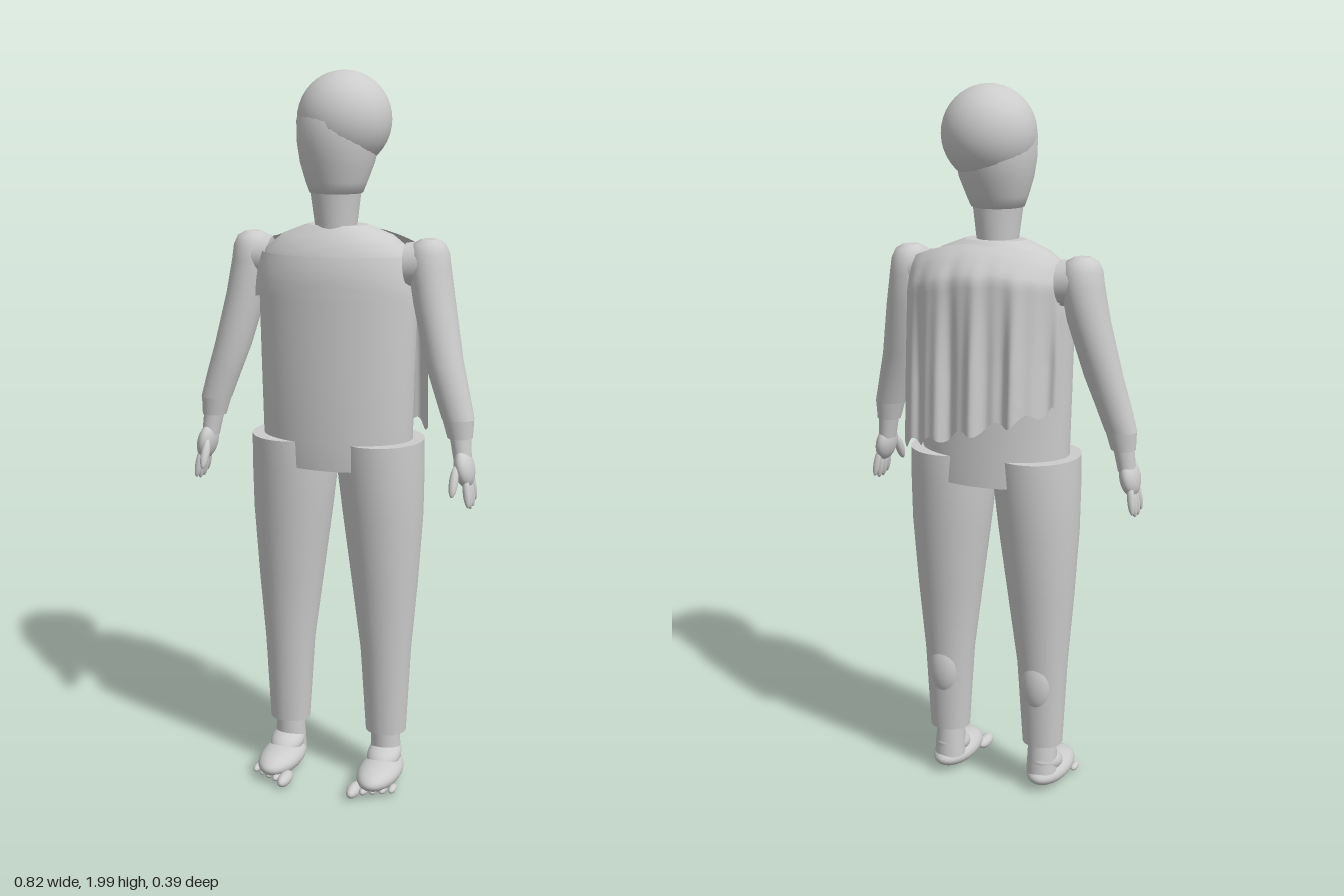
import * as THREE from 'three';

const clay = new THREE.MeshStandardMaterial({ color: 0xcccccc });
clay.name = 'clay grey';
const clayCloth = new THREE.MeshStandardMaterial({ color: 0xcccccc, side: THREE.DoubleSide });
clayCloth.name = 'clay grey cloth';

// Smooth body through horizontal ellipses [x, y, z, rx, rz], listed from bottom to top, with flat caps
function loft(name, rings, seg = 40) {
  const pos = [], idx = [], row = seg + 1;
  const addRing = ([x, y, z, rx, rz]) => {
    for (let i = 0; i <= seg; i++) {
      const a = (i / seg) * Math.PI * 2;
      pos.push(x + rx * Math.sin(a), y, z + rz * Math.cos(a));
    }
  };
  rings.forEach(addRing);
  for (let r = 0; r < rings.length - 1; r++) {
    for (let i = 0; i < seg; i++) {
      const a = r * row + i, b = a + row;
      idx.push(a, a + 1, b, a + 1, b + 1, b);
    }
  }
  [[rings[0], false], [rings[rings.length - 1], true]].forEach(([ring, up]) => {
    const c = pos.length / 3;
    pos.push(ring[0], ring[1], ring[2]);
    addRing(ring);
    for (let i = 1; i <= seg; i++) idx.push(c, up ? c + i : c + i + 1, up ? c + i + 1 : c + i);
  });
  const g = new THREE.BufferGeometry();
  g.setAttribute('position', new THREE.Float32BufferAttribute(pos, 3));
  g.setIndex(idx);
  g.computeVertexNormals();
  // Match the normals along the seam
  const n = g.attributes.normal;
  for (let r = 0; r < rings.length; r++) {
    const a = r * row, b = a + seg;
    const v = new THREE.Vector3().fromBufferAttribute(n, a)
      .add(new THREE.Vector3().fromBufferAttribute(n, b)).normalize();
    n.setXYZ(a, v.x, v.y, v.z);
    n.setXYZ(b, v.x, v.y, v.z);
  }
  const m = new THREE.Mesh(g, clay);
  m.name = name;
  return m;
}

function ellipsoid(name, p, r, rot = [0, 0, 0]) {
  const m = new THREE.Mesh(new THREE.SphereGeometry(1, 32, 20), clay);
  m.name = name;
  m.position.set(...p);
  m.scale.set(...r);
  m.rotation.set(...rot);
  return m;
}

// Cloth sheet shaped by a rule f(u, v) => [x, y, z]
function cloth(name, nu, nv, f) {
  const g = new THREE.PlaneGeometry(1, 1, nu, nv), p = g.attributes.position;
  for (let i = 0; i < p.count; i++) p.setXYZ(i, ...f(p.getX(i) + 0.5, 0.5 - p.getY(i)));
  g.computeVertexNormals();
  const m = new THREE.Mesh(g, clayCloth);
  m.name = name;
  return m;
}

function makeLeg(s) {
  const leg = new THREE.Group();
  leg.name = s > 0 ? 'leftLeg' : 'rightLeg';
  leg.add(loft('trouserLeg', [
    [0.147, 0.155, -0.005, 0.058, 0.055], [0.145, 0.4, -0.005, 0.072, 0.07],
    [0.14, 0.6, -0.007, 0.093, 0.093], [0.133, 0.8, -0.008, 0.112, 0.117],
    [0.126, 0.93, -0.007, 0.12, 0.13], [0.124, 1.015, -0.006, 0.121, 0.134],
  ].map(([x, ...q]) => [s * x, ...q])));
  leg.add(ellipsoid('calf', [s * 0.145, 0.35, -0.046], [0.045, 0.085, 0.035]));
  leg.add(loft('ankle', [[s * 0.147, 0.06, -0.008, 0.045, 0.045], [s * 0.146, 0.17, -0.002, 0.04, 0.042]]));
  leg.add(ellipsoid('instep', [s * 0.149, 0.085, 0.015], [0.048, 0.034, 0.068], [0.3, 0, 0]));
  leg.add(ellipsoid('foot', [s * 0.15, 0.05, 0.055], [0.06, 0.038, 0.118]));
  for (let i = 0; i < 5; i++) {
    const r = i ? 0.0125 - i * 0.0005 : 0.018;
    leg.add(ellipsoid('toe', [s * (0.104 + i * 0.0245 + (i ? 0.003 : 0)), 0.028, 0.155 - i * 0.011], [r, r, r * 2.3]));
  }
  return leg;
}

function makeArm(s, dz) {
  const arm = new THREE.Group();
  arm.name = s > 0 ? 'leftArm' : 'rightArm';
  const add = (name, rings) => arm.add(loft(name, rings.map(([x, ...q]) => [s * x, ...q])));
  add('sleeve', [
    [0.361, 1.1, 0.06, 0.044, 0.04], [0.34, 1.17, 0.053, 0.048, 0.046],
    [0.315, 1.25, 0.043, 0.052, 0.053], [0.28, 1.4, 0.018, 0.056, 0.066],
    [0.264, 1.49, 0.012, 0.057, 0.065], [0.262, 1.53, 0.012, 0.054, 0.059],
    [0.262, 1.555, 0.012, 0.043, 0.045], [0.262, 1.567, 0.012, 0.022, 0.022],
  ]);
  add('cuff', [[0.368, 1.05, 0.062, 0.034, 0.033], [0.361, 1.102, 0.06, 0.043, 0.039]]);
  add('wrist', [[0.378, 0.99, 0.068, 0.024, 0.03], [0.368, 1.06, 0.062, 0.029, 0.03]]);
  // Seam band where the sleeve meets the shoulder
  const band = new THREE.Mesh(new THREE.CylinderGeometry(0.06, 0.06, 0.05, 32), clay);
  band.name = 'shoulderBand';
  band.rotation.set(0, 0, Math.PI / 2 + s * 0.08);
  band.position.set(s * 0.23, 1.498, 0.012);
  arm.add(band);
  arm.add(ellipsoid('palm', [s * 0.385, 0.97, 0.075], [0.026, 0.052, 0.047], [0, 0, s * 0.2]));
  for (let i = 0; i < 4; i++) {
    const reach = [0.0, 0.008, 0.007, -0.004][3 - i];
    arm.add(ellipsoid('finger', [s * 0.4, 0.912 - reach, 0.042 + i * 0.021],
      [0.0105, 0.042, 0.0105], [(1.5 - i) * 0.1, 0, s * 0.15]));
  }
  arm.add(ellipsoid('thumb', [s * 0.37, 0.945, 0.128], [0.012, 0.044, 0.014], [-0.5, 0, 0]));
  arm.position.z = dz;
  return arm;
}

export function createModel() {
  const model = new THREE.Group();
  model.name = 'figure';

  // Head and neck
  model.add(ellipsoid('cranium', [0.016, 1.872, -0.013], [0.127, 0.128, 0.127]));
  model.add(loft('face', [
    [0, 1.672, 0.008, 0.045, 0.045], [0, 1.682, 0.008, 0.072, 0.07],
    [0, 1.71, 0.006, 0.083, 0.083], [0.001, 1.76, 0.002, 0.1, 0.1],
    [0.002, 1.81, 0, 0.109, 0.113], [0.003, 1.87, -0.002, 0.112, 0.115], [0.008, 1.92, -0.008, 0.1, 0.1],
  ]));
  model.add(loft('neck', [[0, 1.57, 0.008, 0.056, 0.058], [0, 1.6, 0.008, 0.057, 0.06], [0, 1.69, 0.01, 0.069, 0.066]]));

  // Torso
  model.add(loft('torso', [
    [0, 0.94, -0.01, 0.208, 0.133], [0, 1.02, -0.006, 0.214, 0.135],
    [0, 1.2, -0.003, 0.218, 0.131], [0, 1.4, -0.006, 0.224, 0.131],
    [0, 1.48, -0.01, 0.222, 0.134], [0, 1.53, -0.01, 0.205, 0.122],
    [0, 1.57, -0.008, 0.155, 0.093], [0, 1.597, -0.004, 0.085, 0.065],
  ], 56));

  // Short front edge of the mantle
  model.add(cloth('chestDrape', 32, 8, (u, v) => {
    const a = (u - 0.5) * 2.9, r = 1 - 0.09 * (1 - v) ** 2;
    const bottom = 1.393 + 0.042 * Math.cos(a) ** 2;
    return [0.236 * r * Math.sin(a), 1.52 + (bottom - 1.52) * v, -0.006 + 0.141 * r * Math.cos(a)];
  }));

  // Pleated mantle hanging down the back, longer on the left
  model.add(cloth('backCape', 96, 28, (u, v) => {
    const a = (u - 0.5) * 2.5, c = Math.cos(a);
    const x = 0.01 + 0.235 * Math.sin(a);
    const top = 1.59 - 0.9 * x * x;
    const bottom = 1.1 - 0.3 * x + 0.012 * Math.sin(u * 38);
    const t = Math.min(v / 0.16, 1) ** 0.65;
    const fold = (0.013 * Math.cos(x * 52) + 0.005 * Math.cos(x * 120 + 1)) * Math.min(v * 1.5, 1);
    const back = -0.028 - 0.128 * c - 0.026 * v - fold;
    return [x, top + (bottom - top) * v, -0.075 * c + (back + 0.075 * c) * t];
  }));

  // Limbs
  for (const s of [1, -1]) {
    model.add(makeLeg(s));
    model.add(makeArm(s, s > 0 ? 0 : -0.055));
  }
  return model;
}
